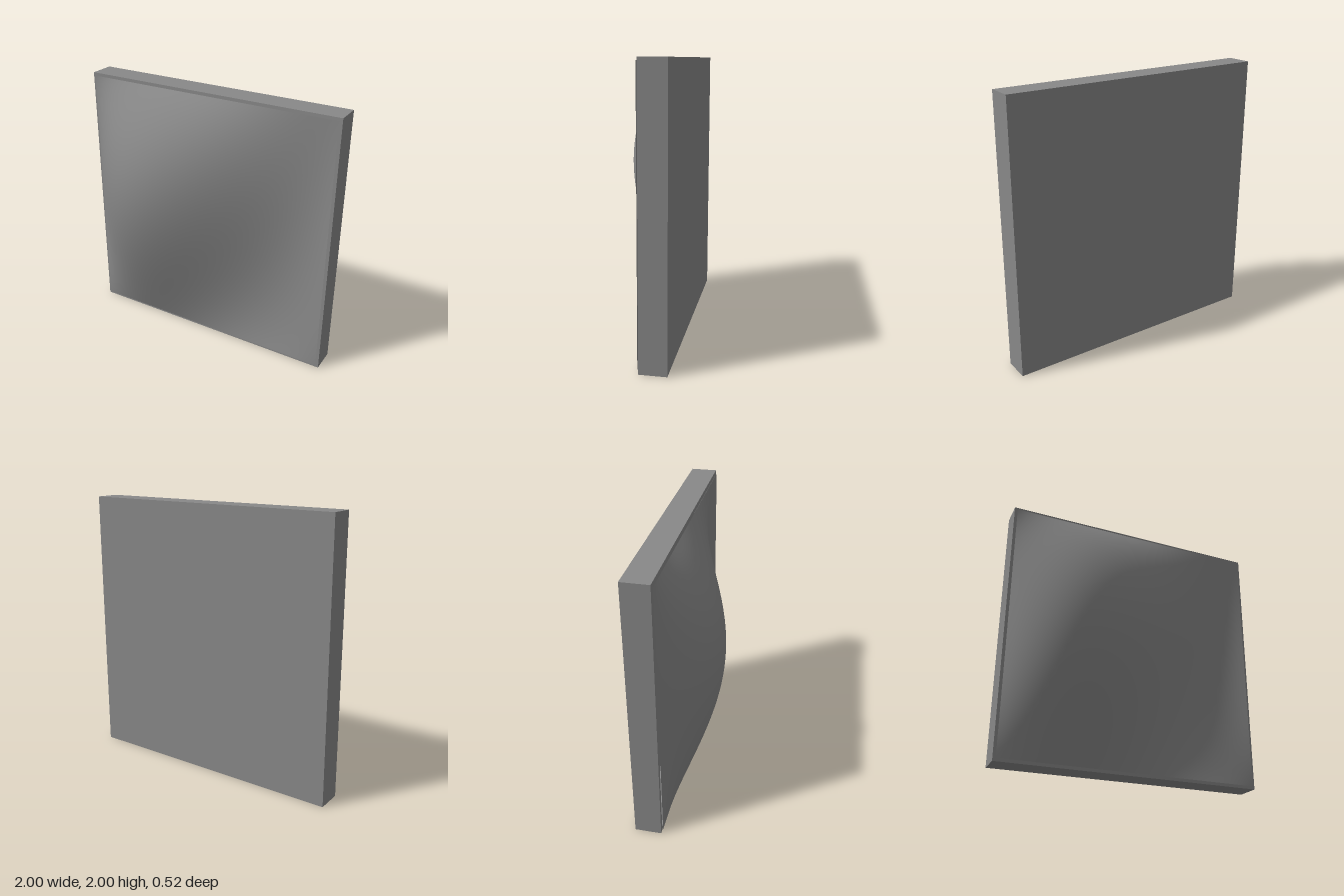
import * as THREE from 'three';

export function createModel() {
  const group = new THREE.Group();
  const material = new THREE.MeshStandardMaterial({ color: 0x888888, side: THREE.DoubleSide });

  function add(name, geometry, x, y, z) {
    const mesh = new THREE.Mesh(geometry, material);
    mesh.name = name;
    mesh.position.set(x, y, z);
    group.add(mesh);
  }

  // Square tray: solid back with a thin rim around the open front
  const square = h => [[-h, -h], [h, -h], [h, h], [-h, h]].map(p => new THREE.Vector2(...p));
  const rim = new THREE.Shape(square(1));
  rim.holes.push(new THREE.Path(square(0.965)));
  add('frameRim', new THREE.ExtrudeGeometry(rim, { depth: 0.17, bevelEnabled: false }), 0, 1, -0.24);
  add('backPanel', new THREE.BoxGeometry(2, 2, 0.02), 0, 1, -0.25);

  // Bicubic sheet pinned flat at its edges; four inner control heights shape it
  const lowerLeft = 0.78, lowerRight = -0.5, upperLeft = 1.42, upperRight = -0.23;
  const size = 1.96;
  const b1 = t => 3 * t * (1 - t) ** 2;
  const b2 = t => 3 * t * t * (1 - t);
  const sheet = new THREE.PlaneGeometry(size, size, 48, 48);
  const pos = sheet.attributes.position;
  for (let i = 0; i < pos.count; i++) {
    const u = pos.getX(i) / size + 0.5;
    const v = pos.getY(i) / size + 0.5;
    pos.setZ(i,
      b1(v) * (lowerLeft * b1(u) + lowerRight * b2(u)) +
      b2(v) * (upperLeft * b1(u) + upperRight * b2(u)));
  }
  sheet.computeVertexNormals();
  add('curvedSheet', sheet, 0, 1, -0.06);

  return group;
}
